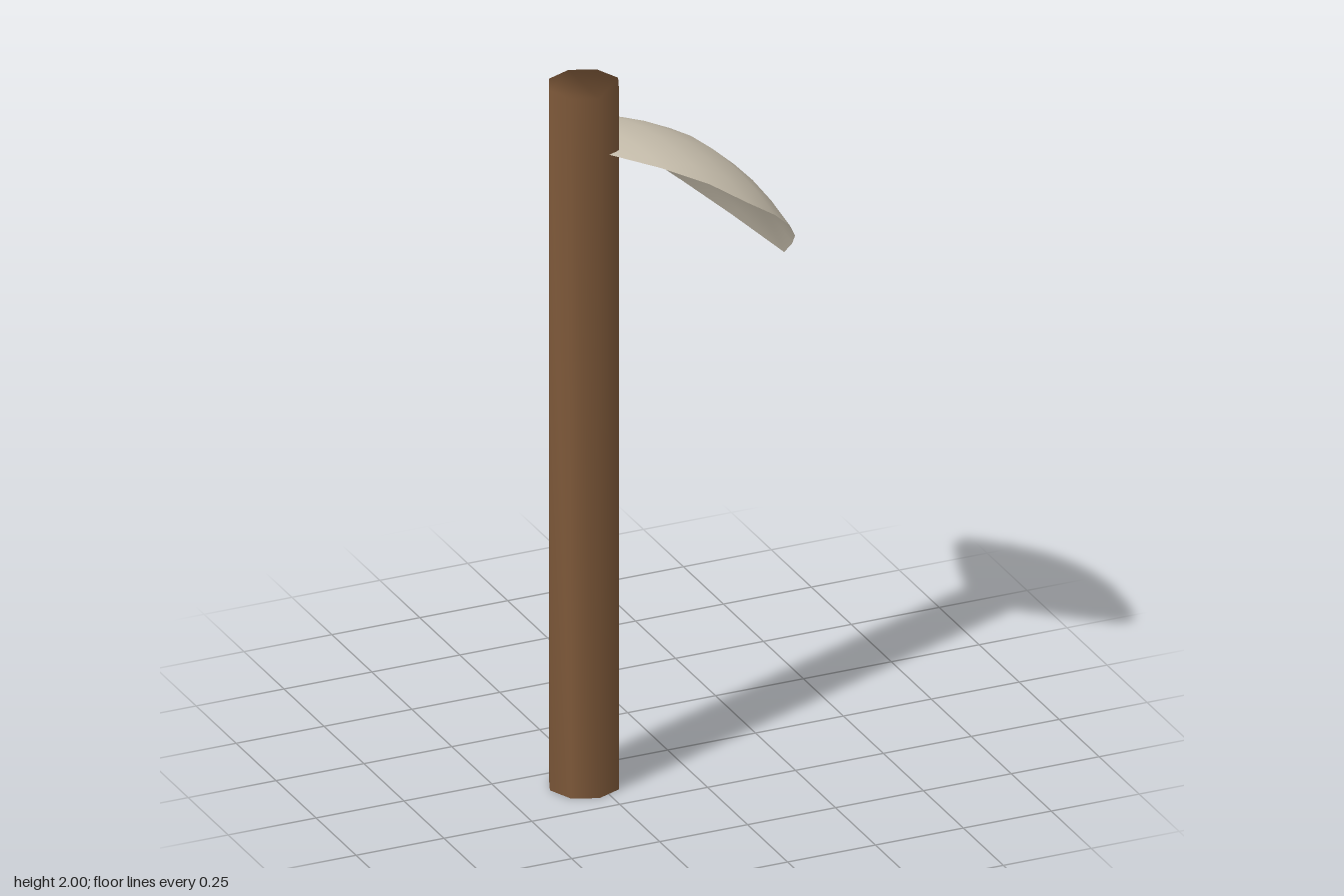
import * as THREE from 'three';
import { mergeVertices } from 'three/addons/utils/BufferGeometryUtils.js';

const wood = new THREE.MeshStandardMaterial({ color: 0x7d5839 });
wood.name = 'brown wood';
const bone = new THREE.MeshStandardMaterial({ color: 0xcbc2b0, side: THREE.DoubleSide });
bone.name = 'pale blade';

// Eight-sided post whose caps and sides share smooth normals
function postGeometry() {
  const corners = [];
  for (let i = 0; i < 8; i++) {
    const a = (i * Math.PI) / 4;
    corners.push(new THREE.Vector2(0.097 * Math.cos(a), 0.097 * Math.sin(a)));
  }
  const raw = new THREE.ExtrudeGeometry(new THREE.Shape(corners), { depth: 2, bevelEnabled: false });
  raw.rotateX(-Math.PI / 2);
  raw.deleteAttribute('normal');
  raw.deleteAttribute('uv');
  const geometry = mergeVertices(raw, 1e-4);
  geometry.computeVertexNormals();
  return geometry;
}

// Cross-sections of the blade: back x, back z, front x, front z, edge height, bulge
const sections = [
  [-0.3, 0, -0.247, 0.18, 1.827, 0.012],
  [-0.245, -0.115, -0.133, 0.25, 1.797, 0.04],
  [-0.178, -0.225, -0.02, 0.303, 1.752, 0.07],
  [-0.108, -0.295, 0.08, 0.324, 1.688, 0.098],
  [-0.024, -0.327, 0.167, 0.306, 1.628, 0.11],
  [0.066, -0.317, 0.235, 0.248, 1.56, 0.105],
  [0.166, -0.27, 0.293, 0.153, 1.48, 0.085],
  [0.27, -0.195, 0.34, 0.032, 1.397, 0.05],
  [0.378, -0.102, 0.378, -0.102, 1.307, 0],
];

// Arched sheet lofted through the cross-sections
function bladeGeometry() {
  const across = 8;
  const row = across + 1;
  const positions = [];
  const indices = [];
  sections.forEach(([bx, bz, fx, fz, y, bulge], s) => {
    for (let i = 0; i <= across; i++) {
      const t = i / across;
      positions.push(bx + (fx - bx) * t, y + bulge * 4 * t * (1 - t), bz + (fz - bz) * t);
      if (s < sections.length - 1 && i < across) {
        const a = s * row + i;
        indices.push(a, a + 1, a + row);
        // The last strip closes to a point
        if (s < sections.length - 2) indices.push(a + 1, a + row + 1, a + row);
      }
    }
  });
  const geometry = new THREE.BufferGeometry();
  geometry.setAttribute('position', new THREE.Float32BufferAttribute(positions, 3));
  geometry.setIndex(indices);
  const merged = mergeVertices(geometry, 1e-4);
  merged.computeVertexNormals();
  return merged;
}

export function createModel() {
  const model = new THREE.Group();
  model.name = 'bladedPost';

  const post = new THREE.Mesh(postGeometry(), wood);
  post.name = 'post';
  post.position.set(-0.282, 0, 0.097);
  model.add(post);

  const blade = new THREE.Mesh(bladeGeometry(), bone);
  blade.name = 'blade';
  model.add(blade);

  return model;
}
